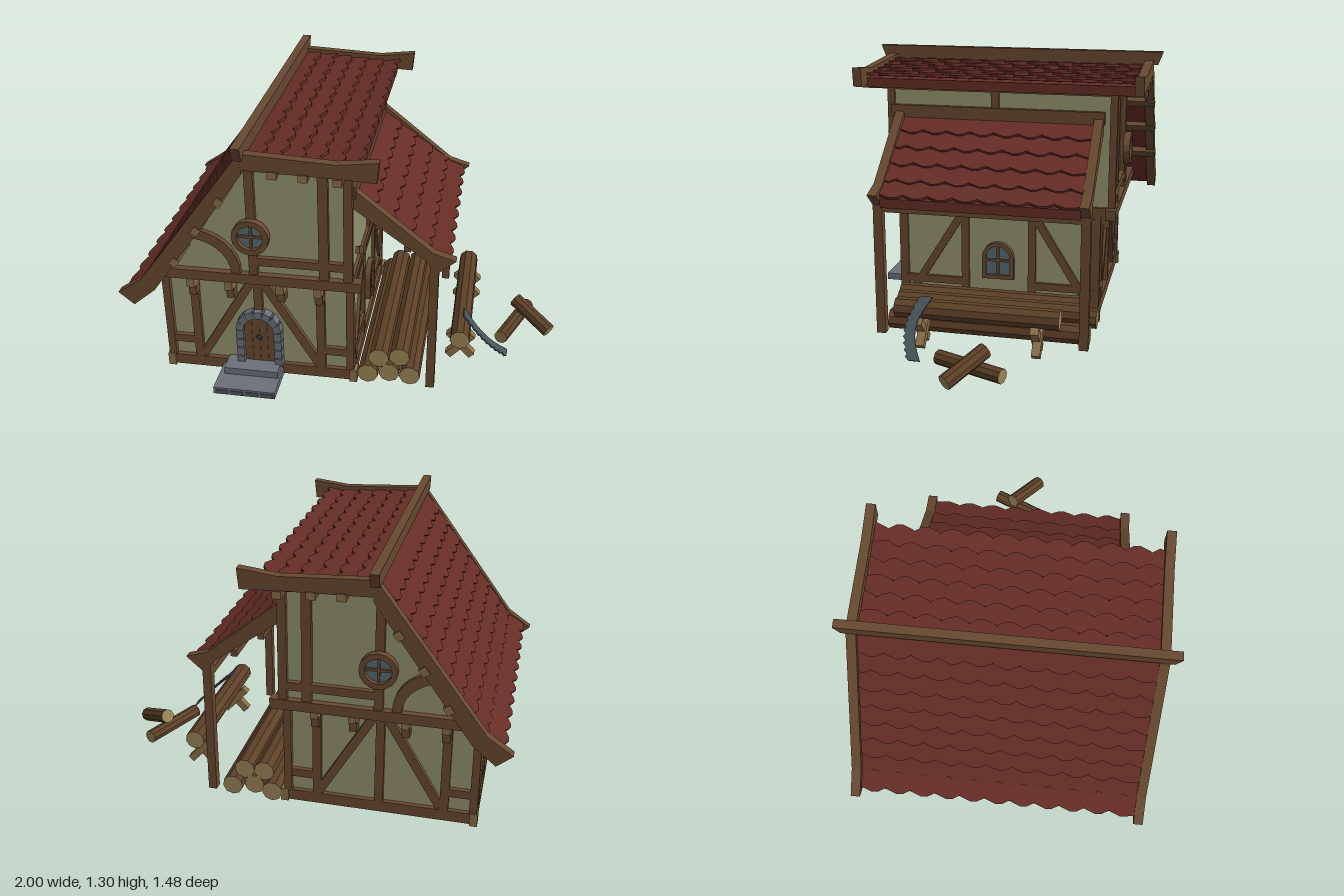
import * as THREE from 'three';

const mat = (name, color) => {
  const m = new THREE.MeshStandardMaterial({ color, flatShading: true });
  m.name = name;
  return m;
};
const V = (x, y, z) => new THREE.Vector3(x, y, z);

export function createModel() {
  const root = new THREE.Group();
  root.name = 'timberHouse';
  const wood = mat('wood', 0x684930), lightWood = mat('lightWood', 0x8a6e47);
  const bark = mat('bark', 0x5e4128), logEnd = mat('logEnd', 0x9a8457);
  const plaster = mat('plaster', 0x92936e), tile = mat('roofTile', 0x652d26);
  const stone = mat('stone', 0x6b7079), darkStone = mat('darkStone', 0x50555e);
  const iron = mat('iron', 0x475358), glass = mat('glass', 0x566b72);

  // ---- helpers ----
  const add = (name, geo, m, parent = root) => {
    const mesh = new THREE.Mesh(geo, m);
    mesh.name = name;
    parent.add(mesh);
    return mesh;
  };
  const box = (name, m, x0, x1, y0, y1, z0, z1, parent) => {
    const b = add(name, new THREE.BoxGeometry(x1 - x0, y1 - y0, z1 - z0), m, parent);
    b.position.set((x0 + x1) / 2, (y0 + y1) / 2, (z0 + z1) / 2);
    return b;
  };
  const orient = (mesh, x, y, z, pos) => {
    mesh.quaternion.setFromRotationMatrix(new THREE.Matrix4().makeBasis(x, y, z));
    mesh.position.copy(pos);
    return mesh;
  };
  // beam from a to b, width w across, depth d along the normal n
  const bar = (name, a, b, w, d, n, m = wood) => {
    const y = b.clone().sub(a), len = y.length();
    y.normalize();
    const x = y.clone().cross(n).normalize(), z = x.clone().cross(y);
    return orient(add(name, new THREE.BoxGeometry(w, len, d), m), x, y, z, a.clone().add(b).multiplyScalar(0.5));
  };
  const poly = pts => new THREE.Shape(pts.map(p => new THREE.Vector2(p[0], p[1])));
  const extrude = (shape, depth) =>
    new THREE.ExtrudeGeometry(shape, { depth, bevelEnabled: false, curveSegments: 8 });
  const slab = (name, m, pts, z0, z1, parent) => {
    const s = add(name, extrude(poly(pts), z1 - z0), m, parent);
    s.position.z = z0;
    return s;
  };
  const log = (name, a, b, r) => {
    const y = b.clone().sub(a), geo = new THREE.CylinderGeometry(r, r, y.length(), 9);
    const l = add(name, geo, [bark, logEnd, logEnd]);
    l.quaternion.setFromUnitVectors(V(0, 1, 0), y.normalize());
    l.position.copy(a).add(b).multiplyScalar(0.5);
  };
  const arch = (w, h, shape = new THREE.Shape()) => {
    shape.moveTo(-w, 0).lineTo(w, 0).lineTo(w, h - w);
    shape.absarc(0, h - w, w, 0, Math.PI, false);
    return shape.lineTo(-w, 0);
  };

  // ---- walls ----
  box('lowerWalls', plaster, -0.845, 0.04, 0.02, 0.57, -0.47, 0.495);
  slab('upperWalls', plaster, [[-0.84, 0.57], [0.04, 0.57], [0.04, 1.18], [-0.4, 1.19], [-0.83, 0.6]], -0.54, 0.54);

  // ---- front and back timbers ----
  for (const s of [1, -1]) {
    const N = V(0, 0, s), side = s > 0 ? 'front' : 'back';
    const zl = s > 0 ? 0.5 : -0.475, zu = s * 0.547;
    const low = (n, x1, y1, x2, y2, w = 0.04) => bar(side + n, V(x1, y1, zl), V(x2, y2, zl), w, 0.035, N);
    const up = (n, x1, y1, x2, y2, w = 0.04) => bar(side + n, V(x1, y1, zu), V(x2, y2, zu), w, 0.035, N);
    low('Sill', -0.86, 0.045, 0.055, 0.045, 0.055);
    for (const x of [-0.705, -0.105]) low('Stud', x, 0.07, x, 0.55);
    low('Rail', -0.84, 0.17, -0.705, 0.17);
    low('Rail', -0.105, 0.17, 0.03, 0.17);
    low('Brace', -0.685, 0.085, -0.415, 0.545);
    low('Brace', -0.115, 0.085, -0.385, 0.545);
    low('CentreStud', -0.4, s > 0 ? 0.37 : 0.07, -0.4, 0.55);
    for (const x of [-0.84, 0.035]) box(side + 'CornerPost', wood, x - 0.018, x + 0.018, 0.07, 0.56, zl - 0.022, zl + 0.022);
    for (const x of [-0.845, 0.05]) box(side + 'CornerFoot', lightWood, x - 0.018, x + 0.018, 0.015, 0.08, zl - 0.03, zl + 0.03);
    // jetty beam with brackets below
    box(side + 'JettyBeam', wood, -0.855, 0.095, 0.548, 0.597, zu - 0.025, zu + 0.025);
    for (const x of [-0.7, -0.52, -0.28, -0.105]) {
      box(side + 'Bracket', wood, x - 0.018, x + 0.018, 0.45, 0.505, zl + s * 0.025 - 0.025, zl + s * 0.025 + 0.025);
      box(side + 'JoistEnd', lightWood, x - 0.018, x + 0.018, 0.505, 0.55, zl + s * 0.035 - 0.04, zl + s * 0.035 + 0.04);
    }
    // upper storey
    up('KingPost', -0.4, 0.59, -0.4, 1.2);
    up('UpperStud', -0.075, 0.59, -0.075, 1.19, 0.045);
    up('UpperCorner', 0.035, 0.59, 0.035, 1.18);
    up('UpperRail', -0.4, 0.665, 0.03, 0.665);
    const band = new THREE.Shape().moveTo(-0.7, 0.81);
    band.bezierCurveTo(-0.56, 0.81, -0.46, 0.73, -0.46, 0.59);
    band.lineTo(-0.503, 0.59).bezierCurveTo(-0.503, 0.7, -0.6, 0.768, -0.73, 0.768);
    add(side + 'CurvedBrace', extrude(band, 0.035), wood).position.z = zu - 0.0175;
    // round window
    const win = new THREE.Group();
    win.name = side + 'RoundWindow';
    win.position.set(-0.4, 0.8, zu + s * 0.012);
    win.rotation.y = s > 0 ? 0 : Math.PI;
    root.add(win);
    const ring = new THREE.Shape().absarc(0, 0, 0.086, 0, Math.PI * 2);
    ring.holes.push(new THREE.Path().absarc(0, 0, 0.06, 0, Math.PI * 2, true));
    add('windowRing', extrude(ring, 0.035), wood, win);
    add('windowPane', new THREE.CircleGeometry(0.063, 16), glass, win).position.z = 0.012;
    box('windowBar', wood, -0.006, 0.006, -0.06, 0.06, 0.012, 0.022, win);
    box('windowBar', wood, -0.06, 0.06, -0.006, 0.006, 0.012, 0.022, win);
  }

  // ---- left and right timbers ----
  for (const s of [1, -1]) {
    const N = V(s, 0, 0), side = s > 0 ? 'left' : 'right';
    const x = s > 0 ? 0.04 : -0.845;
    const b = (n, z1, y1, z2, y2, w = 0.038) => bar(side + n, V(x, y1, z1), V(x, y2, z2), w, 0.03, N);
    b('SideSill', -0.49, 0.045, 0.52, 0.045, 0.055);
    b('SideTopPlate', -0.56, 0.575, 0.56, 0.575, 0.045);
    b('SideRail', -0.47, 0.53, 0.49, 0.53, 0.02);
    for (const z of [0.18, -0.16]) b('SideStud', z, 0.07, z, 0.55);
    b('SideRail', 0.18, 0.17, 0.49, 0.17);
    b('SideRail', -0.47, 0.17, -0.16, 0.17);
    b('SideBrace', 0.46, 0.1, 0.2, 0.52);
    b('SideBrace', -0.44, 0.1, -0.18, 0.52);
    // arched window
    const win = new THREE.Group();
    win.name = side + 'ArchedWindow';
    win.position.set(x + s * 0.003, 0.2, 0.01);
    win.rotation.y = s * Math.PI / 2;
    root.add(win);
    const frame = arch(0.08, 0.19);
    const hole = arch(0.06, 0.15, new THREE.Path());
    frame.holes.push(new THREE.Path(hole.getPoints(8).map(p => p.setY(p.y + 0.02)).reverse()));
    add('windowFrame', extrude(frame, 0.025), wood, win);
    add('windowPane', new THREE.ShapeGeometry(arch(0.065, 0.175)), glass, win).position.z = 0.011;
    box('windowBar', wood, -0.006, 0.006, 0.01, 0.175, 0.011, 0.02, win);
    box('windowBar', wood, -0.063, 0.063, 0.09, 0.102, 0.011, 0.02, win);
  }
  // upper timbers over the lean-to
  const U = V(1, 0, 0), ux = 0.042;
  bar('upperSideStud', V(ux, 0.6, 0.025), V(ux, 1.18, 0.025), 0.04, 0.03, U);
  bar('upperSidePlate', V(ux, 1.16, -0.55), V(ux, 1.16, 0.55), 0.04, 0.03, U);
  for (const s of [1, -1]) bar('upperSideBrace', V(ux, 0.66, s * 0.38), V(ux, 0.58, s * 0.24), 0.035, 0.03, U);

  // ---- door and steps ----
  const door = new THREE.Group();
  door.name = 'door';
  door.position.set(-0.4, 0.07, 0.5);
  root.add(door);
  const surround = arch(0.105, 0.3);
  surround.holes.push(arch(0.074, 0.265, new THREE.Path()));
  add('doorSurround', extrude(surround, 0.035), darkStone, door);
  add('doorLeaf', extrude(arch(0.075, 0.267), 0.022), wood, door);
  for (const x of [-0.037, 0, 0.037]) box('doorGroove', bark, x - 0.002, x + 0.002, 0, 0.23, 0.02, 0.025, door);
  add('doorRing', new THREE.TorusGeometry(0.012, 0.004, 5, 10), iron, door).position.set(0, 0.155, 0.028);
  for (const s of [1, -1]) for (let i = 0; i < 4; i++)
    box('jambStone', stone, s * 0.091 - 0.018, s * 0.091 + 0.018, i * 0.049 + 0.002, i * 0.049 + 0.045, 0, 0.045, door);
  for (let i = 0; i < 7; i++) {
    const a = (i + 0.5) * Math.PI / 7;
    const v = box('archStone', stone, -0.018, 0.018, -0.019, 0.019, 0, 0.045, door);
    v.position.set(Math.cos(a) * 0.091, 0.195 + Math.sin(a) * 0.091, 0.0225);
    v.rotation.z = a;
  }
  box('lowerStep', stone, -0.585, -0.29, 0.015, 0.05, 0.5, 0.715);
  box('upperStep', stone, -0.56, -0.3, 0.05, 0.085, 0.5, 0.605);
  for (let i = 0; i < 4; i++) box('stepStone', darkStone, -0.575 + i * 0.072, -0.515 + i * 0.072, 0.02, 0.04, 0.71, 0.719);

  // ---- roofs: a slab under overlapping rows of pointed tiles ----
  const roof = (name, pts, count, tiles, half, zc) => {
    const g = new THREE.Group();
    g.name = name;
    root.add(g);
    const under = pts.map(p => [p[0], p[1] - 0.045]).reverse();
    slab(name + 'Slab', tile, [...pts, ...under], zc - half, zc + half, g);
    const path = new THREE.Path(pts.map(p => new THREE.Vector2(p[0], p[1])));
    const rows = path.getSpacedPoints(count), w = 2 * half / tiles;
    for (let i = 0; i < count; i++) {
      const d = V(rows[i + 1].x - rows[i].x, rows[i + 1].y - rows[i].y, 0), L = d.length() + 0.018;
      d.y += 0.013;
      d.normalize();
      const n = V(-d.y, d.x, 0);
      if (n.y < 0) n.negate();
      const line = [[half, 0], [-half, 0], [-half, L - 0.012]];
      for (let k = -1; k < tiles; k++) for (const [f, v] of [[0, 0.026], [0.3, 0.004], [0.55, 0], [0.97, 0.02]]) {
        const u = -half + (k + f + (i % 2) * 0.5) * w;
        if (u > -half + 0.003 && u < half - 0.003) line.push([u, L - v]);
      }
      line.push([half, L - 0.012]);
      orient(add('tileRow', extrude(poly(line.reverse()), 0.013), tile, g),
        d.clone().cross(n), d, n, V(rows[i].x, rows[i].y, zc));
    }
  };
  roof('longRoof', [[-0.4, 1.225], [-0.87, 0.585], [-0.945, 0.53]], 9, 11, 0.648, 0.003);
  roof('shortRoof', [[-0.4, 1.222], [0, 1.196], [0.1, 1.198]], 6, 11, 0.648, 0.003);
  roof('leanToRoof', [[0.045, 1.0], [0.4, 0.735], [0.465, 0.7]], 5, 8, 0.466, 0.01);

  // verge boards
  for (const z of [0.65, -0.693]) {
    slab('longVerge', wood, [[-0.4, 1.258], [-0.885, 0.605], [-1, 0.526], [-0.93, 0.467], [-0.825, 0.555], [-0.39, 1.165]], z, z + 0.044);
    slab('shortVerge', wood, [[-0.4, 1.258], [-0.4, 1.183], [0, 1.174], [0.178, 1.165], [0.187, 1.258], [0.01, 1.237]], z, z + 0.043);
  }
  slab('ridgeBeam', wood, [[-0.74, 1.3], [-0.715, 1.235], [0.715, 1.235], [0.74, 1.3]].reverse(), -0.02, 0.02)
    .rotation.y = Math.PI / 2;
  root.getObjectByName('ridgeBeam').position.set(-0.42, 0, 0);
  // purlins with pale ends
  for (const [x, y, r] of [[-0.5, 1.025, 0.94], [-0.61, 0.875, 0.94], [-0.72, 0.71, 0.94],
    [-0.26, 1.17, 0], [-0.13, 1.165, 0], [0.015, 1.155, 0]]) {
    const p = add('purlin', new THREE.BoxGeometry(0.04, 0.034, 1.4), [wood, wood, wood, wood, lightWood, lightWood]);
    p.position.set(x, y, 0);
    p.rotation.z = r;
  }

  // ---- lean-to frame ----
  for (const z of [0.478, -0.498]) {
    slab('leanToVerge', wood, [[0.05, 1.045], [0.05, 0.95], [0.37, 0.72], [0.43, 0.655], [0.51, 0.724], [0.41, 0.755]], z, z + 0.044);
    box('leanToPost', wood, 0.395, 0.435, 0.02, 0.7, z, z + 0.044);
  }
  box('leanToBeam', wood, 0.397, 0.43, 0.625, 0.66, -0.47, 0.49);
  box('leanToLedger', wood, 0.04, 0.065, 1.005, 1.065, -0.505, 0.545);
  for (const [x, y] of [[0.16, 0.85], [0.29, 0.75]]) box('leanToPurlin', wood, x - 0.015, x + 0.015, y - 0.015, y + 0.015, -0.47, 0.49);

  // ---- wood pile ----
  [[0.115, 0.05, 0.5], [0.215, 0.05, 0.48], [0.315, 0.05, 0.49], [0.165, 0.13, 0.48], [0.262, 0.13, 0.46]]
    .forEach(([x, y, h], i) => log('stackedLog', V(x, y, -h + (i % 2) * 0.02), V(x, y, h), 0.05));

  // ---- sawhorse with log ----
  for (const z of [0.26, -0.28]) for (const s of [1, -1])
    bar('sawhorseLeg', V(0.54 - s * 0.058, 0.042, z + s * 0.004), V(0.54 + s * 0.058, 0.168, z + s * 0.004), 0.036, 0.04, V(0, 0, 1), lightWood);
  log('sawhorseLog', V(0.54, 0.207, -0.383), V(0.54, 0.207, 0.383), 0.048);

  // saw blade with teeth on the curved edge
  const saw = [];
  for (let i = 0; i <= 10; i++) saw.push([0.05 * Math.sin(Math.PI * i / 10), 0.31 * i / 10]);
  for (let i = 20; i >= 0; i--) saw.push([0.053 + 0.04 * Math.sin(Math.PI * i / 20) + (i % 2) * 0.012, 0.31 * i / 20]);
  const h = Math.SQRT1_2;
  orient(add('sawBlade', extrude(poly(saw), 0.008), iron), V(0, 0, 1), V(h, -h, 0), V(h, h, 0), V(0.545, 0.267, 0.205));

  // split logs on the ground
  log('looseLog', V(0.865, 0.067, -0.19), V(0.735, 0.067, 0.13), 0.034);
  log('leaningLog', V(0.8, 0.15, -0.1), V(0.975, 0.066, 0.035), 0.036);

  return root;
}
